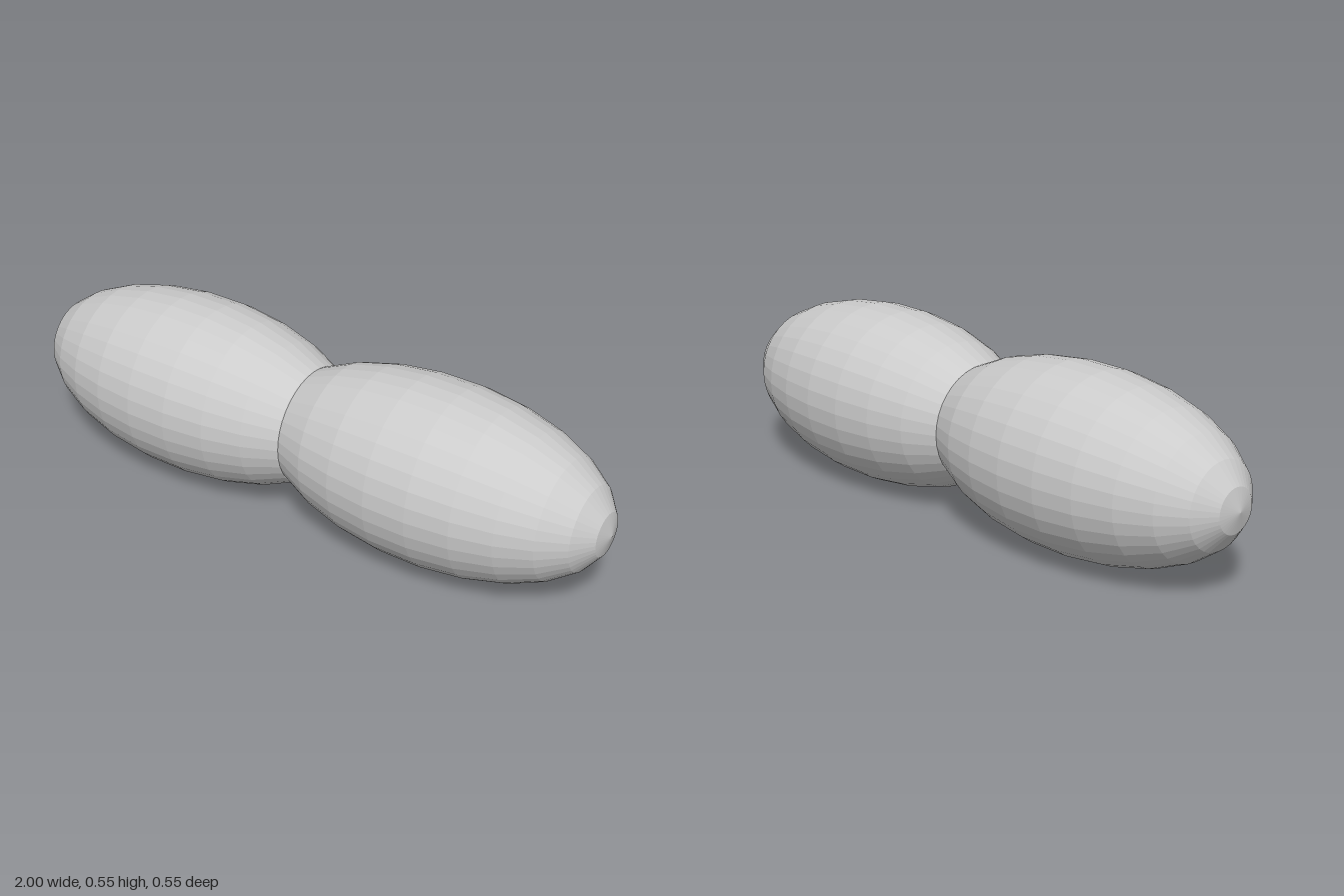
import * as THREE from 'three';

export function createModel() {
  const group = new THREE.Group();
  const material = new THREE.MeshStandardMaterial({ color: 0xcccccc, flatShading: true });

  const radius = 0.278;     // cross-section radius
  const halfLength = 0.57;  // along x
  const centreX = 0.43;

  // Two faceted ellipsoids, overlapping at the waist
  for (const side of [1, -1]) {
    const geometry = new THREE.SphereGeometry(1, 36, 13);
    geometry.scale(radius, halfLength, radius);
    geometry.rotateZ(-side * Math.PI / 2);
    const lobe = new THREE.Mesh(geometry, material);
    lobe.name = side > 0 ? 'leftLobe' : 'rightLobe';
    lobe.position.set(side * centreX, 0.277, 0);
    group.add(lobe);
  }
  return group;
}
